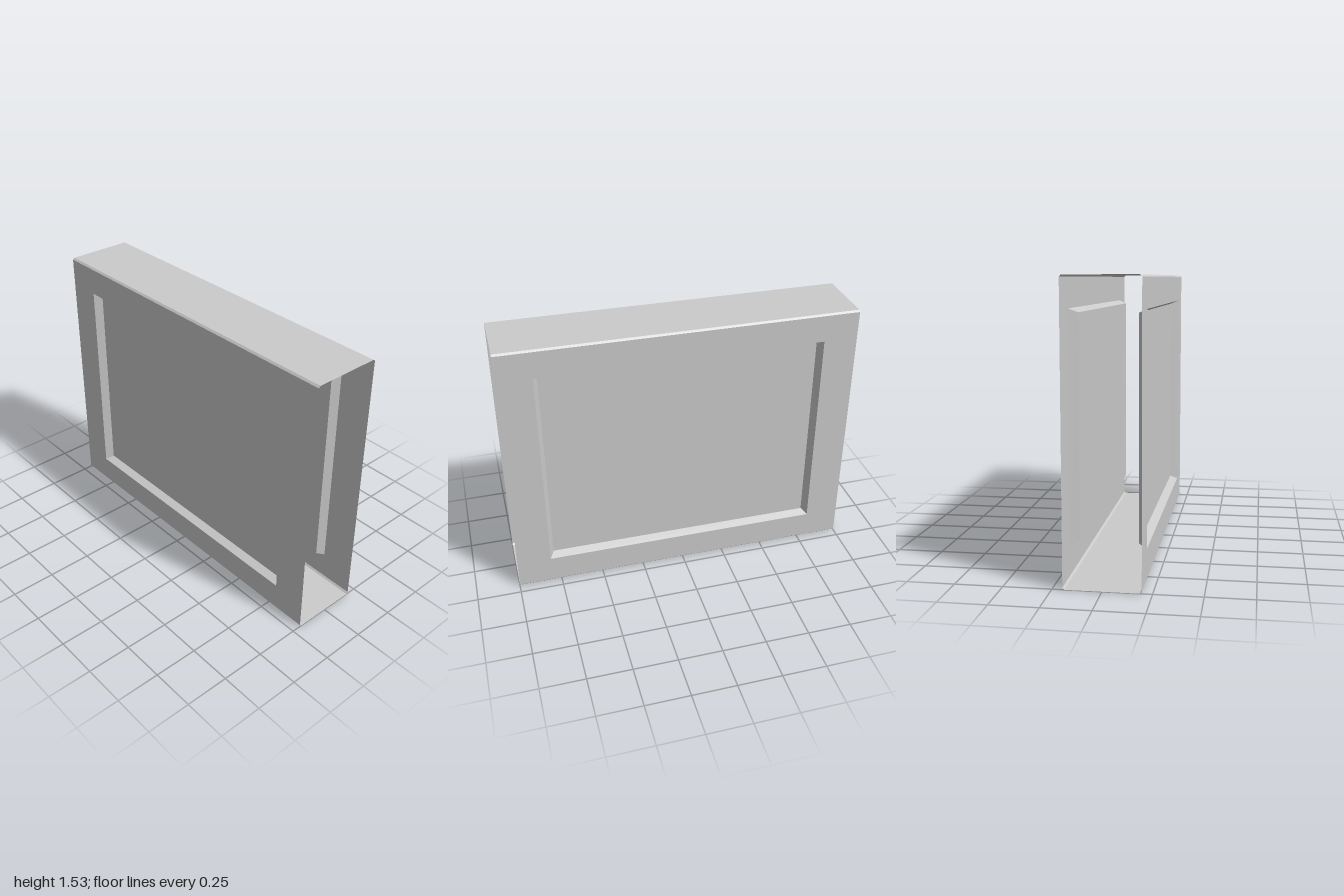
import * as THREE from 'three';

const HEIGHT = 1.535, HALF_W = 1, HALF_D = 0.197, CHAMFER = 0.01;

const material = new THREE.MeshStandardMaterial({
  color: 0xcccccc, flatShading: true, side: THREE.DoubleSide,
});

// Builds a flat-shaded mesh from four-cornered faces, counter-clockwise from outside
function quadMesh(name, quads) {
  const points = quads.flatMap(([a, b, c, d]) => [a, b, c, a, c, d]).flat();
  const geometry = new THREE.BufferGeometry();
  geometry.setAttribute('position', new THREE.Float32BufferAttribute(points, 3));
  geometry.computeVertexNormals();
  const mesh = new THREE.Mesh(geometry, material);
  mesh.name = name;
  return mesh;
}

const rectangle = (halfW, bottom, top, z) => [
  [-halfW, bottom, z], [halfW, bottom, z], [halfW, top, z], [-halfW, top, z],
];

// Joins two rectangular loops with four faces
const ring = (outer, inner) => outer.map((p, i) => {
  const j = (i + 1) % 4;
  return [p, outer[j], inner[j], inner[i]];
});

// Thin panel: flat border, sloping recess walls, sunken floor
function createPanel(name) {
  const edge = rectangle(HALF_W, CHAMFER, HEIGHT - CHAMFER, HALF_D);
  const opening = rectangle(0.805, 0.165, 1.37, HALF_D);
  const floor = rectangle(0.78, 0.185, 1.35, 0.152);
  const panel = new THREE.Group();
  panel.name = name;
  panel.add(
    quadMesh('border', ring(edge, opening)),
    quadMesh('recessWalls', ring(opening, floor)),
    quadMesh('recessFloor', [floor]),
  );
  return panel;
}

// Top or bottom sheet, with a narrow chamfer along both long edges
function createCap(name, y, inward) {
  const profile = [
    [y + inward * CHAMFER, HALF_D], [y, HALF_D - CHAMFER],
    [y, -HALF_D + CHAMFER], [y + inward * CHAMFER, -HALF_D],
  ];
  const quads = profile.slice(1).map(([y1, z1], i) => {
    const [y0, z0] = profile[i];
    const quad = [
      [-HALF_W, y0, z0], [HALF_W, y0, z0], [HALF_W, y1, z1], [-HALF_W, y1, z1],
    ];
    return inward < 0 ? quad : quad.reverse();
  });
  return quadMesh(name, quads);
}

export function createModel() {
  const model = new THREE.Group();
  model.name = 'openSidedFrame';

  const back = createPanel('backPanel');
  back.rotation.y = Math.PI;

  // The left and right ends stay open
  model.add(
    createPanel('frontPanel'),
    back,
    createCap('topSheet', HEIGHT, -1),
    createCap('bottomSheet', 0, 1),
  );
  return model;
}
